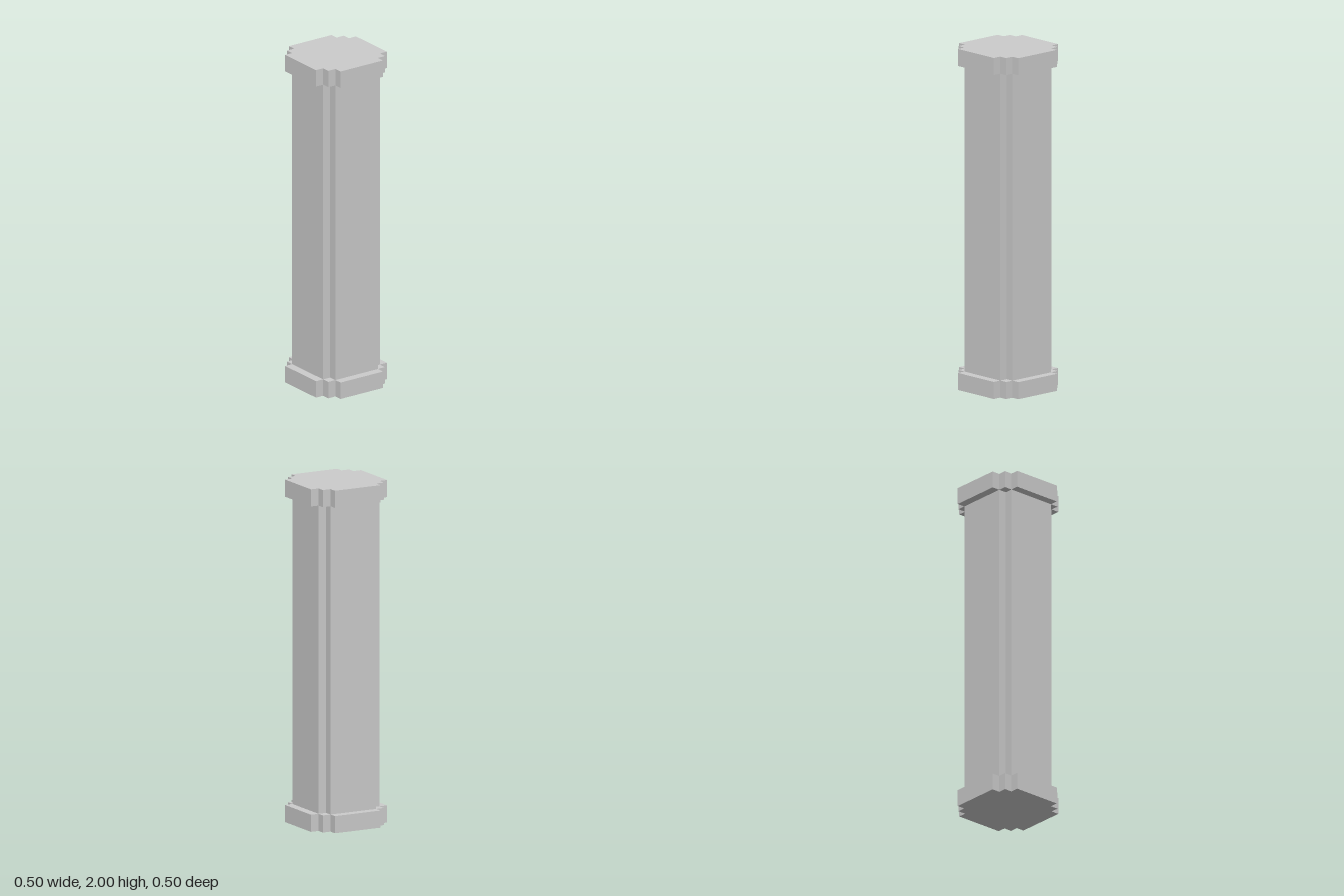
import * as THREE from 'three';

const material = new THREE.MeshStandardMaterial({ color: 0xcccccc, flatShading: true });

// Extrudes a four-fold symmetric outline upwards; corner lists one quadrant counter-clockwise.
function prism(name, corner, y, height) {
  const points = [];
  for (let quarter = 0; quarter < 4; quarter++) {
    for (const [x, z] of corner) {
      let p = [x, z];
      for (let i = 0; i < quarter; i++) p = [-p[1], p[0]];
      points.push(new THREE.Vector2(p[0], p[1]));
    }
  }
  const geometry = new THREE.ExtrudeGeometry(new THREE.Shape(points), { depth: height, bevelEnabled: false });
  geometry.rotateX(-Math.PI / 2);
  const mesh = new THREE.Mesh(geometry, material);
  mesh.name = name;
  mesh.position.y = y;
  return mesh;
}

export function createModel() {
  const group = new THREE.Group();
  group.name = 'pillar';

  // Shaft with one square notch at each corner
  const shaftCorner = [[0.2, 0.15], [0.15, 0.15], [0.15, 0.2]];
  // Base and capital with two-stepped corners
  const slabCorner = [[0.25, 0.15], [0.2, 0.15], [0.2, 0.2], [0.15, 0.2], [0.15, 0.25]];

  group.add(
    prism('base', slabCorner, 0, 0.1),
    prism('shaft', shaftCorner, 0.1, 1.8),
    prism('capital', slabCorner, 1.9, 0.1),
  );
  return group;
}
